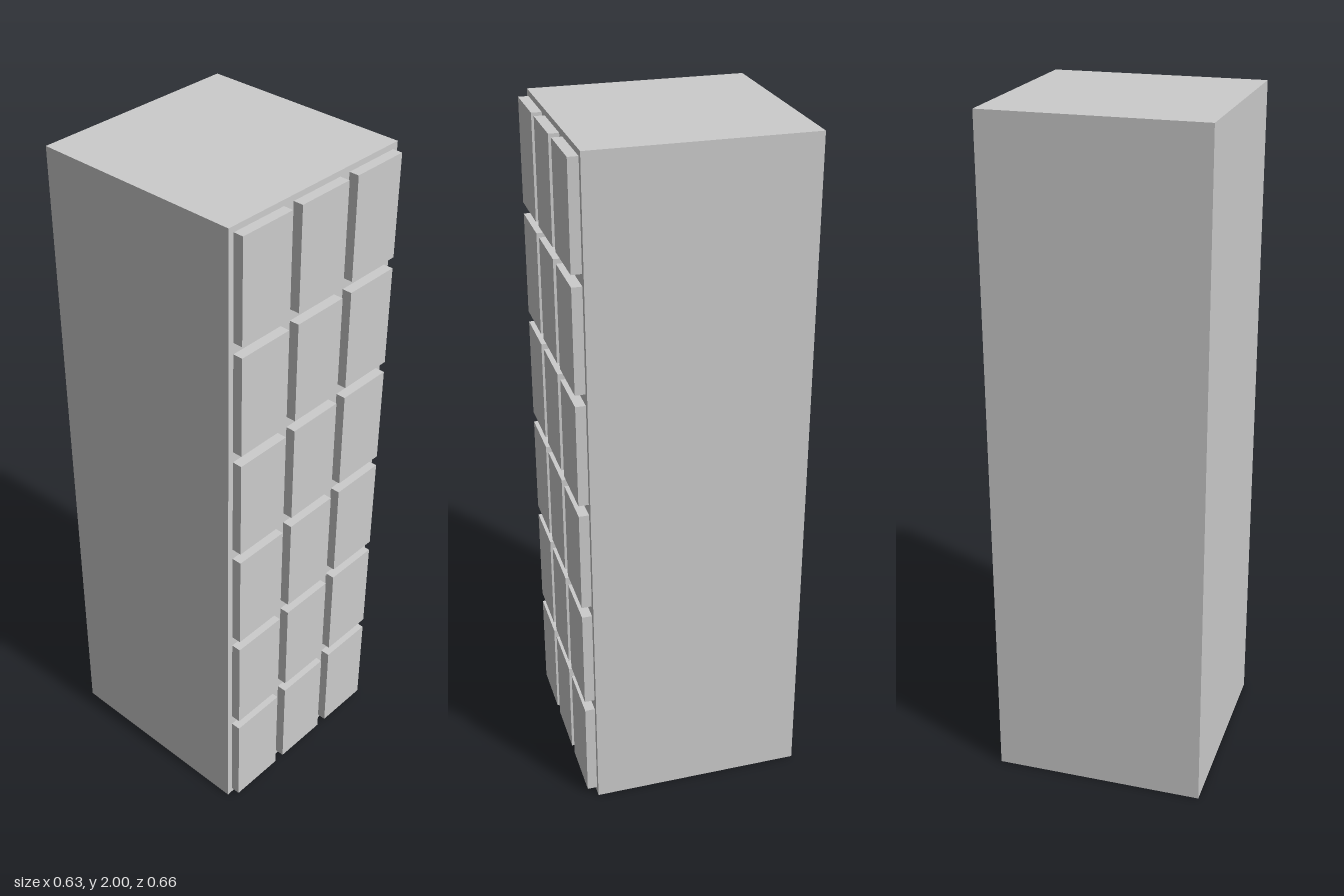
import * as THREE from 'three';

const WIDTH = 0.627, HEIGHT = 2, DEPTH = 0.627;
const COLS = 3, ROWS = 6;
const DOOR_W = 0.174, DOOR_H = 0.3, DOOR_D = 0.029;
const BACK_Z = -(DEPTH + DOOR_D) / 2, FRONT_Z = BACK_Z + DEPTH;

// Box without the listed faces (0 +x, 1 -x, 2 +y, 3 -y, 4 +z, 5 -z)
function openBox(w, h, d, missing) {
  const geometry = new THREE.BoxGeometry(w, h, d);
  const index = Array.from(geometry.index.array);
  geometry.setIndex(index.filter((_, i) => !missing.includes(Math.floor(i / 6))));
  geometry.clearGroups();
  return geometry;
}

export function createModel() {
  const model = new THREE.Group();
  model.name = 'lockerCabinet';
  const material = new THREE.MeshStandardMaterial({ color: 0xcccccc, side: THREE.DoubleSide });

  function add(name, geometry, x, y, z) {
    const mesh = new THREE.Mesh(geometry, material);
    mesh.name = name;
    mesh.position.set(x, y, z);
    model.add(mesh);
  }

  // Hollow cabinet: sides, top and back, open underneath
  add('cabinetShell', openBox(WIDTH, HEIGHT, DEPTH, [3, 4]), 0, HEIGHT / 2, BACK_Z + DEPTH / 2);

  // Front frame with an opening behind every door
  const frame = new THREE.Shape([
    new THREE.Vector2(-WIDTH / 2, 0), new THREE.Vector2(WIDTH / 2, 0),
    new THREE.Vector2(WIDTH / 2, HEIGHT), new THREE.Vector2(-WIDTH / 2, HEIGHT),
  ]);
  const doorGeometry = openBox(DOOR_W, DOOR_H, DOOR_D, [5]);

  for (let row = 0; row < ROWS; row++) {
    for (let col = 0; col < COLS; col++) {
      const x = (col - (COLS - 1) / 2) * WIDTH / COLS;
      const y = (row + 0.5) * HEIGHT / ROWS;
      const l = x - DOOR_W / 2, r = x + DOOR_W / 2;
      const b = y - DOOR_H / 2, t = y + DOOR_H / 2;
      frame.holes.push(new THREE.Path([
        new THREE.Vector2(l, b), new THREE.Vector2(l, t),
        new THREE.Vector2(r, t), new THREE.Vector2(r, b),
      ]));
      // Raised door, hollow on the inside
      add(`door_${row + 1}_${col + 1}`, doorGeometry, x, y, FRONT_Z + DOOR_D / 2);
    }
  }
  add('frontFrame', new THREE.ShapeGeometry(frame), 0, 0, FRONT_Z);

  return model;
}
